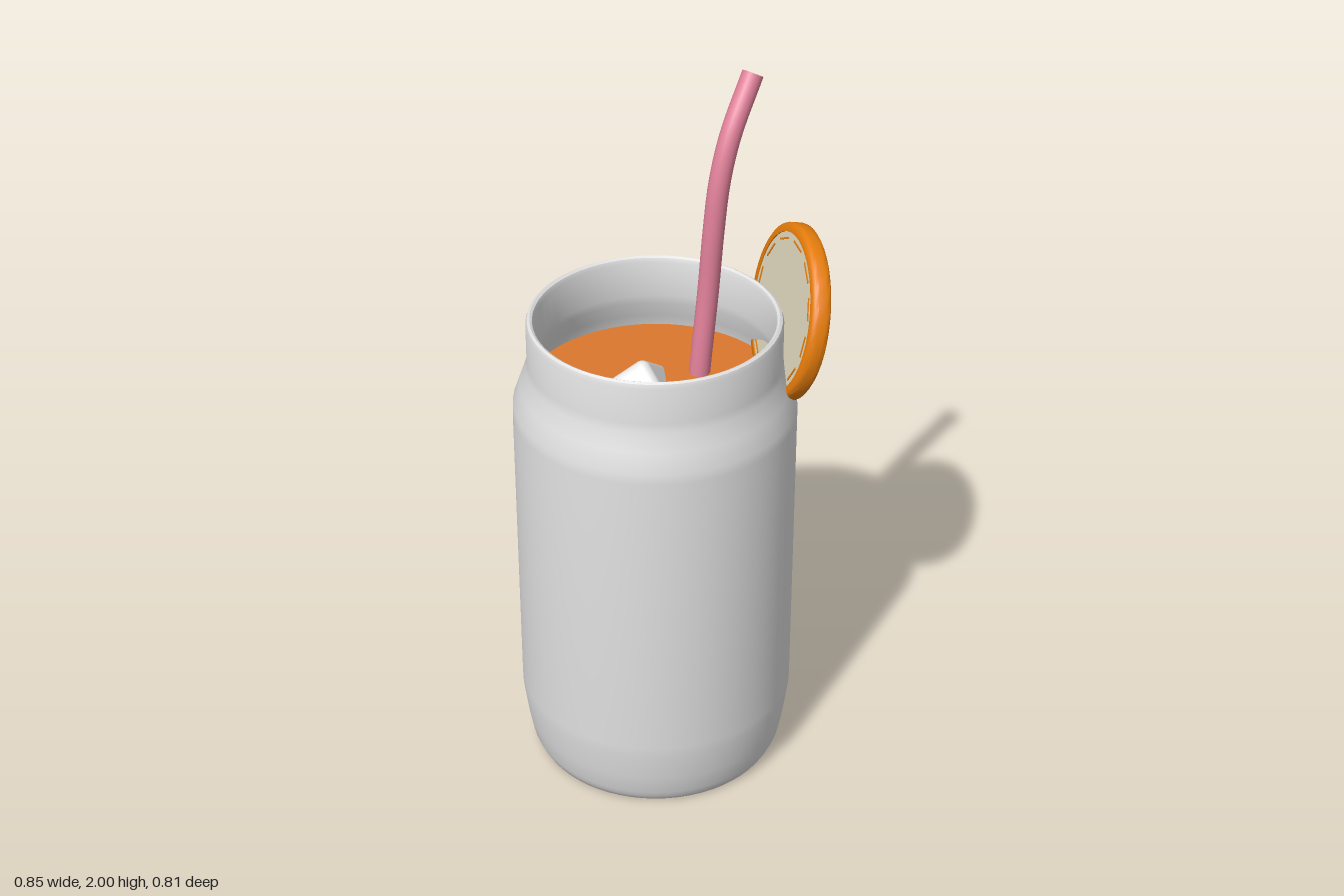
import * as THREE from 'three';
import { toCreasedNormals } from 'three/addons/utils/BufferGeometryUtils.js';
import { RoundedBoxGeometry } from 'three/addons/geometries/RoundedBoxGeometry.js';

const material = (name, color, side = THREE.FrontSide) => {
  const m = new THREE.MeshStandardMaterial({ color, side });
  m.name = name;
  return m;
};

const add = (parent, name, geometry, mat) => {
  const mesh = new THREE.Mesh(geometry, mat);
  mesh.name = name;
  parent.add(mesh);
  return mesh;
};

const lathe = (points, segments = 64) =>
  new THREE.LatheGeometry(points.map(([r, y]) => new THREE.Vector2(r, y)), segments);

export function createModel() {
  const glassMat = material('pale glass', 0xe0e0e0);
  const iceMat = material('ice white', 0xececec);
  const juiceMat = material('orange juice', 0xdb772e);
  const rindMat = material('orange rind', 0xec800c);
  const pithMat = material('cream pith', 0xddd5bc);
  const strawMat = material('pink straw', 0xe08099, THREE.DoubleSide);

  const model = new THREE.Group();
  model.name = 'icedDrink';
  const cup = new THREE.Group();
  cup.name = 'cup';
  cup.position.set(-0.043, 0, -0.02);
  model.add(cup);

  // Can-shaped glass: outer wall, rounded lip, inner wall and floor
  const glass = lathe([
    [0, 0], [0.335, 0], [0.345, 0.005], [0.353, 0.02], [0.361, 0.04], [0.372, 0.1],
    [0.384, 0.19], [0.385, 0.22], [0.385, 1.1], [0.383, 1.13], [0.364, 1.185],
    [0.347, 1.235], [0.343, 1.26], [0.343, 1.365], [0.339, 1.377], [0.332, 1.381],
    [0.325, 1.377], [0.321, 1.365], [0.321, 1.26], [0.325, 1.235], [0.342, 1.185],
    [0.361, 1.13], [0.363, 1.1], [0.363, 0.22], [0.34, 0.06], [0, 0.06]
  ]);
  add(cup, 'glass', toCreasedNormals(glass, 0.7), glassMat);

  // Drink filling the glass up to the shoulder
  const juice = lathe([
    [0, 0.062], [0.338, 0.062], [0.361, 0.22], [0.361, 1.1], [0.359, 1.13], [0.353, 1.15], [0, 1.15]
  ]);
  add(cup, 'juice', toCreasedNormals(juice, 0.7), juiceMat);

  // Ice cube floating with one corner up
  const ice = add(model, 'iceCube', new RoundedBoxGeometry(0.3, 0.3, 0.3, 4, 0.025), iceMat);
  const up = new THREE.Vector3(0, 1, 0);
  ice.quaternion.setFromAxisAngle(up, -Math.PI / 3).multiply(
    new THREE.Quaternion().setFromUnitVectors(new THREE.Vector3(1, 1, 1).normalize(), up));
  ice.position.set(-0.045, 0.983, -0.062);

  // Bent drinking straw, open at the ends
  const path = new THREE.CatmullRomCurve3([
    [0.07, 0.3, -0.02], [0.105, 1.1, 0.01], [0.133, 1.4, 0.02], [0.141, 1.58, 0.03],
    [0.157, 1.72, 0.036], [0.195, 1.84, 0.04], [0.285, 1.982, 0.04]
  ].map(p => new THREE.Vector3(...p)));
  add(model, 'straw', new THREE.TubeGeometry(path, 48, 0.029, 20, false), strawMat);

  // Fruit slice wedged over the shoulder, leaning outwards
  const slice = new THREE.Group();
  slice.name = 'fruitSlice';
  slice.position.set(0.26, 1.34, 0.198);
  slice.rotation.order = 'YXZ';
  slice.rotation.set(0.21, 0.945, 0);
  model.add(slice);

  const rind = lathe([
    [0.214, -0.026], [0.23, -0.026], [0.238, -0.02], [0.24, -0.012],
    [0.24, 0.012], [0.238, 0.02], [0.23, 0.026], [0.214, 0.026], [0.214, -0.026]
  ], 48).rotateX(Math.PI / 2);
  add(slice, 'rind', toCreasedNormals(rind, 0.7), rindMat);

  const pith = new THREE.CylinderGeometry(0.216, 0.216, 0.046, 48).rotateX(Math.PI / 2);
  add(slice, 'pith', pith, pithMat);

  // Broken ring of thin segment lines on both faces
  for (const side of [-1, 1]) {
    for (let i = 0; i < 12; i++) {
      const a = (i / 12) * Math.PI * 2;
      const dash = add(slice, 'segmentLine', new THREE.BoxGeometry(0.062, 0.005, 0.003), rindMat);
      dash.position.set(Math.cos(a) * 0.195, Math.sin(a) * 0.195, side * 0.0235);
      dash.rotation.z = a + Math.PI / 2;
    }
  }
  return model;
}
